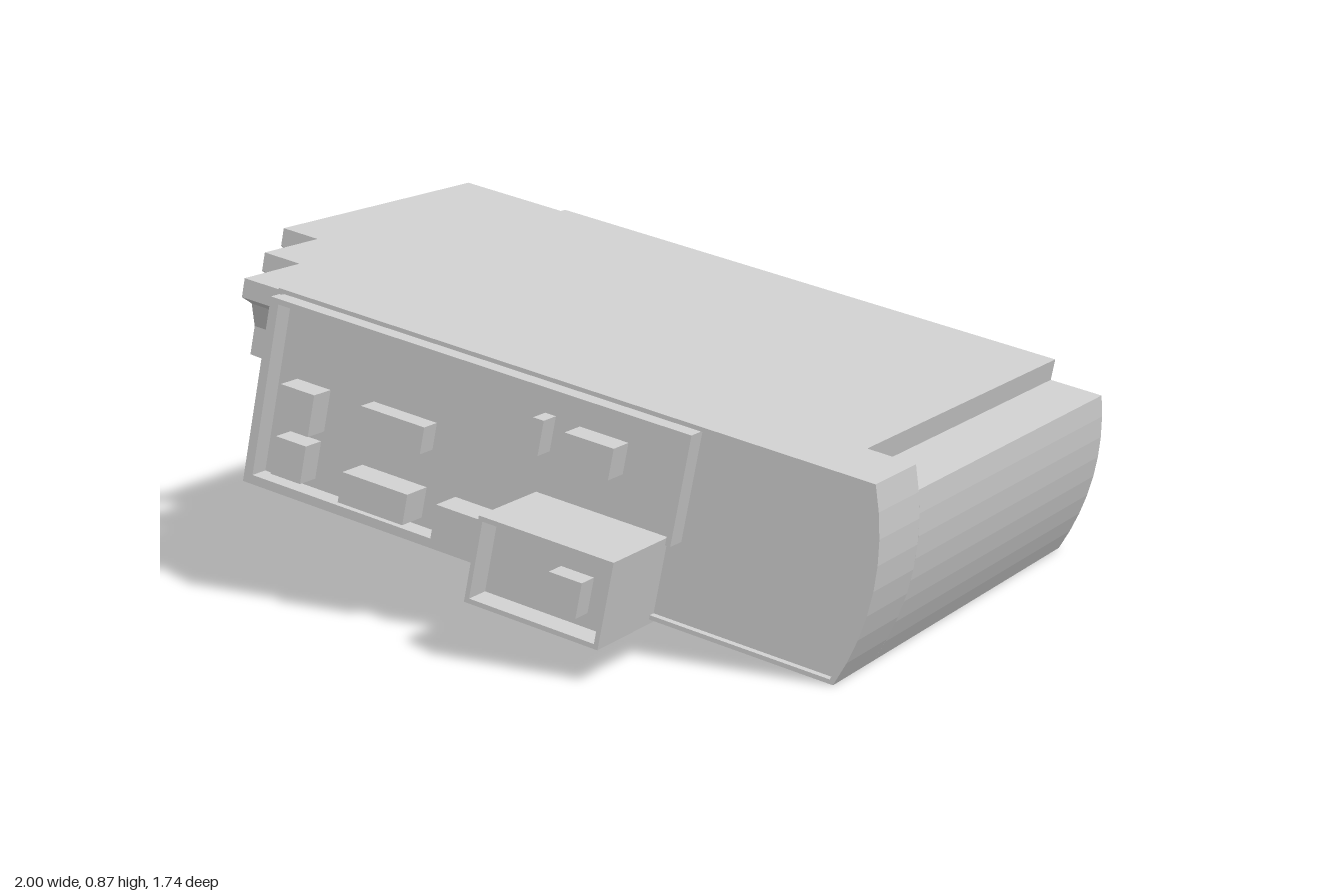
import * as THREE from 'three';

const mat = new THREE.MeshStandardMaterial({ color: 0xcccccc, side: THREE.DoubleSide, flatShading: true });
const BACK = -0.87, TOP = 0.683, BOTTOM = 0.18;

export function createModel() {
  const model = new THREE.Group();
  const tilted = new THREE.Group();
  tilted.name = 'tiltedBlock';
  tilted.rotation.z = -0.1974;
  model.add(tilted);

  function add(name, geo) {
    const mesh = new THREE.Mesh(geo, mat);
    mesh.name = name;
    tilted.add(mesh);
    return mesh;
  }
  const poly = (pts) => new THREE.Shape(pts.map(([x, y]) => new THREE.Vector2(x, y)));
  // profile in the tilted x-y plane, drawn out from z0 to z1
  function prism(name, shape, z0, z1) {
    const geo = new THREE.ExtrudeGeometry(shape, { depth: z1 - z0, bevelEnabled: false, curveSegments: 8 });
    return add(name, geo.translate(0, 0, z0));
  }
  // profile given as [z, y], drawn out along the slope from x0 to x1
  function sweep(name, pts, x0, x1) {
    const geo = new THREE.ExtrudeGeometry(poly(pts.map(([z, y]) => [-z, y])), { depth: x1 - x0, bevelEnabled: false });
    return add(name, geo.rotateY(Math.PI / 2).translate(x0, 0, 0));
  }
  function box(name, x0, x1, y0, y1, z0, z1) {
    const geo = new THREE.BoxGeometry(x1 - x0, y1 - y0, z1 - z0);
    return add(name, geo.translate((x0 + x1) / 2, (y0 + y1) / 2, (z0 + z1) / 2));
  }

  // main slab with a bulging end; the inset makes the rim opening
  function slabShape(inset = 0) {
    const s = new THREE.Shape();
    s.moveTo(-0.789 + inset, BOTTOM + inset);
    s.lineTo(0.866 - inset, BOTTOM + inset);
    s.quadraticCurveTo(0.966 - inset, 0.433, 0.868 - inset, TOP - inset);
    s.lineTo(-0.789 + inset, TOP - inset);
    s.closePath();
    return s;
  }
  const notched = new THREE.Shape();
  notched.moveTo(-0.789, BOTTOM);
  notched.lineTo(0.866, BOTTOM);
  notched.quadraticCurveTo(0.954, 0.404, 0.888, 0.625);
  notched.lineTo(0.74, 0.625);
  notched.lineTo(0.74, TOP);
  notched.lineTo(-0.789, TOP);
  notched.closePath();
  prism('notchedBody', notched, BACK, 0.375);
  prism('frontBody', slabShape(), 0.375, 0.59);
  const rim = slabShape();
  rim.holes.push(slabShape(0.011));
  prism('frontRim', rim, 0.59, 0.61);

  // stepped tiers at the high end
  for (let i = 0; i < 3; i++) {
    const x = -1.114 + i * 0.108, end = 0.1 + i * 0.25, w = 0.108, top = 0.676;
    sweep('tierCap', [
      [BACK, top], [end, top], [end, top - 0.05], [end - 0.05, top - 0.075],
      [end - 0.08, top - 0.14], [BACK, top - 0.14],
    ], x, x + w);
    const inner = Math.min(x + 0.24, -0.78);
    prism('tierWall', poly([
      [x, top - 0.14], [x, 0.46], [x + 0.062, 0.458], [x + 0.062, 0.229],
      [x + 0.105, 0.227], [inner, 0.227], [inner, top - 0.14],
    ]), BACK, end - 0.08);
    box('tierFoot', x + 0.105, inner + 0.005, BOTTOM, 0.229, BACK, end - 0.05);
  }

  // raised frame around the front panel
  const f = { x0: -0.785, x1: 0.408, y0: 0.178, y1: 0.668 }, t = 0.014;
  box('frameTop', f.x0, f.x1, f.y1 - t, f.y1, 0.58, 0.648);
  box('frameLeftEnd', f.x0, f.x0 + 0.025, f.y0, f.y1, 0.58, 0.648);
  box('frameRightEnd', f.x1 - t, f.x1, 0.387, f.y1, 0.58, 0.648);
  box('frameBottom', f.x0, 0.01, f.y0, f.y0 + 0.024, 0.58, 0.648);

  // blocks on the front panel: centre x, y in upright space, width, height, front z
  const c = Math.cos(0.1974), s = Math.sin(0.1974);
  function block(px, py, w, h, z0, z1) {
    const x = px * c - py * s, y = px * s + py * c;
    box('panelBlock', x - w / 2, x + w / 2, y - h / 2, y + h / 2, z0, z1);
  }
  [
    [-0.565, 0.53, 0.1, 0.11, 0.665], [-0.59, 0.4, 0.09, 0.1, 0.66],
    [-0.295, 0.505, 0.185, 0.07, 0.65], [-0.33, 0.335, 0.19, 0.08, 0.682],
    [-0.075, 0.28, 0.165, 0.09, 0.682], [0.113, 0.53, 0.03, 0.09, 0.65],
    [0.26, 0.5, 0.135, 0.08, 0.665],
  ].forEach(([x, y, w, h, z]) => block(x, y, w, h, 0.58, z));

  // projecting box with an open front, and the rail it continues under the body
  const b = { x0: 0.005, x1: 0.372, y0: 0.167, y1: 0.387 };
  const rect = (o) => poly([[b.x0 + o, b.y0 + o], [b.x1 - o, b.y0 + o], [b.x1 - o, b.y1 - o], [b.x0 + o, b.y1 - o]]);
  const walls = rect(0);
  walls.holes.push(rect(0.012));
  prism('projectingBoxWalls', walls, 0.58, 0.866);
  prism('projectingBoxBack', rect(0.006), 0.58, 0.79);
  block(0.295, 0.207, 0.09, 0.09, 0.78, 0.85);
  box('underRail', b.x0, b.x1, b.y0, BOTTOM + 0.01, BACK, 0.6);

  return model;
}
